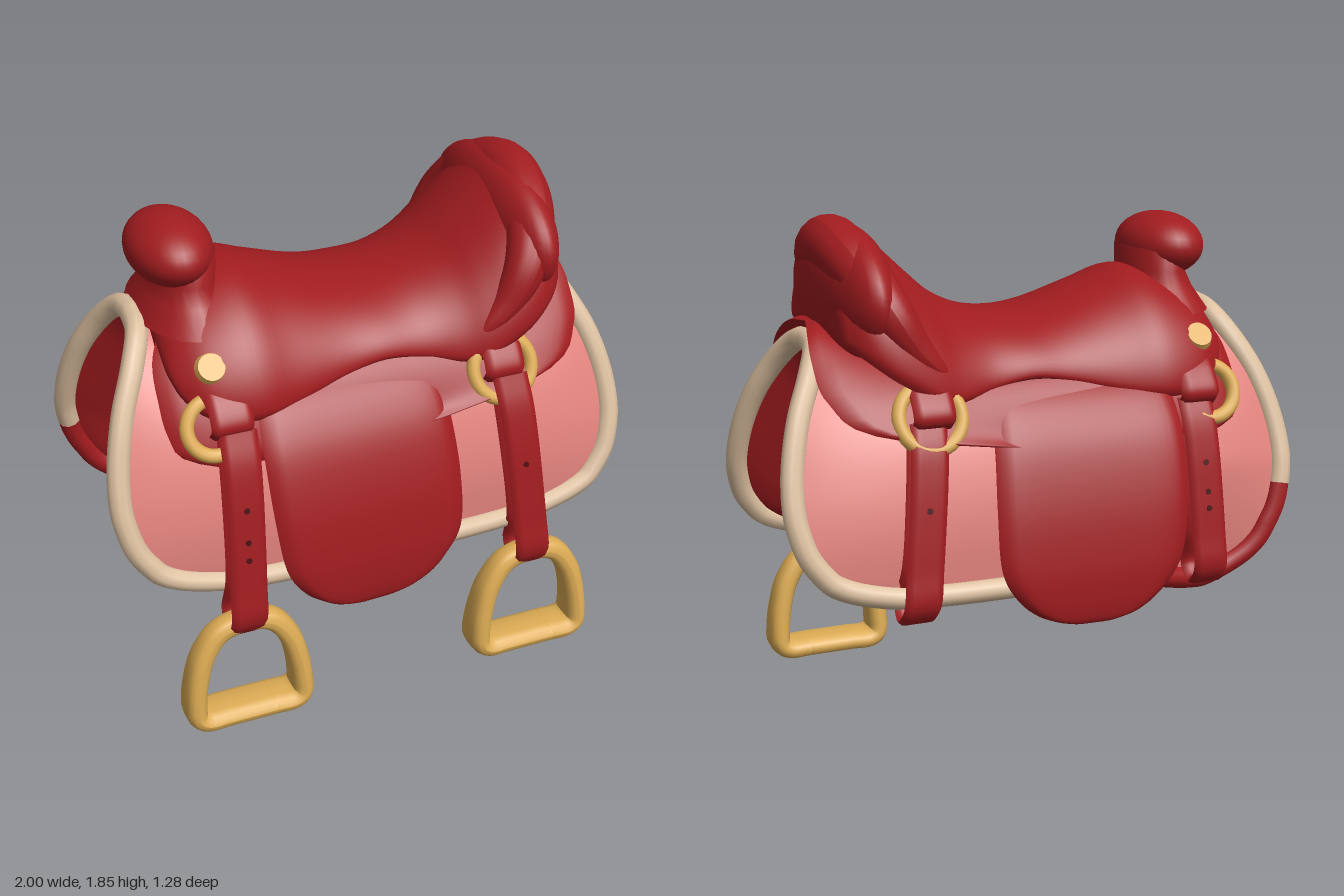
import * as THREE from 'three';

const mat = (name, color) => new THREE.MeshStandardMaterial({ name, color, side: THREE.DoubleSide });
const V = (x, y, z) => new THREE.Vector3(x, y, z);

// Smooth lookup through rows of values
function table(times, rows) {
  const size = rows[0].length;
  const c = new THREE.CubicInterpolant(new Float32Array(times), new Float32Array(rows.flat()), size, new Float32Array(size));
  return t => Array.from(c.evaluate(t));
}
const rowTable = rows => {
  const f = table(rows.map((_, i) => i), rows);
  return v => f((v + 1) / 2 * (rows.length - 1));
};

// Surface from f(u, v, side), u and v in -1..1; two sides give a padded slab
function sheet(f, nu, nv, sides = [1]) {
  const pos = [], idx = [];
  for (const side of sides) {
    const base = pos.length / 3;
    for (let i = 0; i <= nu; i++) for (let j = 0; j <= nv; j++) {
      pos.push(...f(-1 + 2 * i / nu, -1 + 2 * j / nv, side).toArray());
      if (i === nu || j === nv) continue;
      const a = base + i * (nv + 1) + j, b = a + nv + 1;
      idx.push(...(side > 0 ? [a, a + 1, b, b, a + 1, b + 1] : [a, b, a + 1, b, b + 1, a + 1]));
    }
  }
  const g = new THREE.BufferGeometry();
  g.setAttribute('position', new THREE.Float32BufferAttribute(pos, 3));
  g.setIndex(idx);
  g.computeVertexNormals();
  return g;
}
const soft = (u, v) => Math.sqrt(Math.max(0, (1 - u ** 8) * (1 - v ** 8)));

// Half arch profiles (z, y): blanket ends, blanket middle, lining middle
const endArch = table([0, .1, .24, .4, .6, .8, 1],
  [[0, 1.435], [.1, 1.42], [.2, 1.335], [.285, 1.19], [.365, .99], [.43, .79], [.48, .575]]);
const midArch = table([0, .1, .2, .35, .46, .61, .8, 1],
  [[0, 1.37], [.1, 1.365], [.2, 1.335], [.33, 1.25], [.4, 1.15], [.46, 1], [.5, .8], [.5, .565]]);
const liningArch = table([0, .07, .2, .4, .6, .78, .92, 1],
  [[0, 1.2], [.06, 1.19], [.15, 1.12], [.24, .95], [.31, .79], [.37, .64], [.42, .57], [.49, .56]]);
const reach = table([0, .1, .24, .4, .6, .75, .88, .96, 1],
  [[.775], [.785], [.835], [.905], [.953], [.95], [.895], [.79], [.62]]);

function arch(u, t, off = 0, mid = midArch) {
  const s = Math.abs(t), x = u * reach(s)[0], k = Math.max(0, 1 - u ** 4);
  const e = endArch(s), m = mid(s), phi = Math.min(1.45, s * 3);
  let z = e[0] + (m[0] - e[0]) * k + off * Math.sin(phi);
  let y = e[1] + (m[1] - e[1]) * k + off * Math.cos(phi) - .02 * u * (1 - s);
  if (t < 0) { // the far side droops near the horn
    const g = Math.exp(-(((x + .65) / .3) ** 2)) * Math.max(0, (s - .7) / .3);
    y -= .1 * g;
    z *= 1 - .12 * g;
  }
  return V(x, y, z * Math.sign(t));
}

export function createModel() {
  const root = new THREE.Group();
  const red = mat('red leather', 0xa11c1f), pink = mat('pink cloth', 0xe3837d), tan = mat('tan binding', 0xdcbf9f);
  const gold = mat('gold metal', 0xdcab54), dark = mat('dark hole', 0x4a1012);
  const add = (name, geo, m) => {
    const mesh = new THREE.Mesh(geo, m);
    mesh.name = name;
    root.add(mesh);
    return mesh;
  };

  // Blanket, lining and bound edge
  add('blanket', sheet((u, v) => arch(u, v), 48, 64), pink);
  add('lining', sheet((u, v) => arch(u, v, -.012 * soft(u, v), liningArch), 40, 64), red);
  const line = (a, b, n) => Array.from({ length: n }, (_, i) => arch(a[0] + (b[0] - a[0]) * i / n, a[1] + (b[1] - a[1]) * i / n));
  const binding = (name, pts, m) =>
    add(name, new THREE.TubeGeometry(new THREE.CatmullRomCurve3(pts), pts.length * 2, .042, 10), m);
  binding('blanketBinding', [...line([-1, -.78], [-1, 1], 50), ...line([-1, 1], [1, 1], 24),
    ...line([1, 1], [1, -1], 60), ...line([1, -1], [-.1, -1], 14), arch(-.1, -1)], tan);
  binding('farCornerBinding', [...line([-.1, -1], [-1, -1], 14), ...line([-1, -1], [-1, -.78], 10), arch(-1, -.78)], red);

  // Leather skirt lying on the blanket
  const skirtEnds = table([0, .12, .24, .36, .46, .54, .58],
    [[-.7, .785], [-.72, .82], [-.77, .835], [-.78, .81], [-.77, .67], [-.72, .2], [-.6, -.2]]);
  add('skirt', sheet((u, v) => {
    const t = v * .58, [l, r] = skirtEnds(Math.abs(t));
    const x = l + (r - l) * (u + 1) / 2;
    return arch(x / reach(Math.abs(t))[0], t, .02 + .035 * soft(u, v) + .05 * Math.max(0, u) ** 3);
  }, 44, 48), red);

  // Seat from arched sections: x, ridge height, half width, rim height
  const seatAt = rowTable([[-.74, 1.4, .2, 1.38], [-.73, 1.46, .3, 1.34], [-.69, 1.53, .37, 1.28], [-.6, 1.585, .435, 1.24],
    [-.45, 1.62, .46, 1.23], [-.3, 1.575, .43, 1.24], [-.1, 1.51, .39, 1.28], [.05, 1.49, .38, 1.3], [.2, 1.51, .385, 1.28],
    [.33, 1.57, .42, 1.26], [.43, 1.655, .445, 1.28], [.52, 1.74, .45, 1.33], [.6, 1.81, .44, 1.38],
    [.67, 1.82, .41, 1.43], [.72, 1.75, .36, 1.46], [.75, 1.67, .28, 1.48], [.755, 1.58, .001, 1.55]]);
  add('seat', sheet((u, v) => {
    const [x, top, w, rim] = seatAt(u), c = Math.cos(v * 1.83);
    return V(x, rim + (top - rim) * (c < 0 ? .4 * c : c ** 1.2), w * Math.sin(v * 1.83));
  }, 76, 48), red);
  add('seatUnderside', sheet((u, v) => {
    const [x, top, w, rim] = seatAt(u), low = rim - .1 * (top - rim);
    return V(x, low + (Math.min(top - .04, 1.48) - low) * (1 - v * v), w * .967 * v);
  }, 50, 24), red);

  // Rounded back of the cantle
  const back = add('cantleBack', new THREE.SphereGeometry(1, 40, 28), red);
  back.scale.set(.135, .245, .44);
  back.position.set(.64, 1.585, 0);

  // Rolled cantle, tapering toward its ends
  const half = [[.38, 1.31, .4], [.5, 1.42, .385], [.59, 1.56, .355], [.655, 1.69, .22]];
  const rollPath = new THREE.CatmullRomCurve3([...half.map(p => V(...p)), V(.68, 1.755, 0),
    ...half.slice().reverse().map(([x, y, z]) => V(x, y, -z))]);
  const roll = new THREE.TubeGeometry(rollPath, 64, .102, 18), rp = roll.attributes.position;
  for (let i = 0; i < rp.count; i++) {
    const s = Math.floor(i / 19) / 64, c = rollPath.getPointAt(s);
    const p = V(0, 0, 0).fromBufferAttribute(rp, i).sub(c).multiplyScalar(Math.sqrt(Math.max(0, Math.sin(Math.PI * s)))).add(c);
    rp.setXYZ(i, p.x, p.y, p.z);
  }
  roll.computeVertexNormals();
  add('cantleRoll', roll, red);

  // Horn
  const neck = add('hornNeck', new THREE.LatheGeometry(
    [[.19, 1.46], [.14, 1.54], [.115, 1.6], [.117, 1.68], [.08, 1.75]].map(p => new THREE.Vector2(...p)), 28), red);
  neck.position.x = -.588;
  neck.scale.z = 1.65;
  const cap = add('hornCap', new THREE.SphereGeometry(1, 32, 20), red);
  cap.scale.set(.152, .122, .222);
  cap.position.set(-.628, 1.688, 0);

  // Strap: a flat ribbon along a path, w wide in x
  const across = (path, v) => {
    const t = path.getTangent(v);
    return V(0, -t.z, t.y).normalize();
  };
  const strap = (name, path, w, thick) => add(name, sheet((u, v, side) => {
    const s = (v + 1) / 2, p = path.getPoint(s);
    return p.addScaledVector(across(path, s), side * thick * soft(u, 0)).add(V(u * w / 2, 0, 0));
  }, 10, 50, [1, -1]), red);

  const fenderAt = rowTable([[1.28, -.45, .22, .36], [1.18, -.465, .24, .45], [1.05, -.47, .255, .525], [.85, -.46, .27, .585],
    [.65, -.43, .265, .615], [.53, -.36, .2, .617], [.46, -.27, .11, .61], [.43, -.18, .02, .6], [.422, -.11, -.05, .595]]);
  const strapLine = [[1.18, .475], [1.08, .52], [.95, .55], [.8, .572], [.6, .595], [.46, .605], [.395, .55], [.46, .495],
    [.62, .54], [.9, .51], [1.17, .45]];

  for (const side of [1, -1]) {
    const tag = side > 0 ? 'front' : 'back';
    // Fender flap
    add(tag + 'Fender', sheet((u, v, face) => {
      const [y, l, r, z] = fenderAt(v), x = l + (r - l) * (u + 1) / 2;
      return V(x, y, side * (z - .05 * (x + .45) + face * .032 * soft(u, v)));
    }, 24, 40, [1, -1]), red);

    // Concho beside the horn
    const concho = add(tag + 'Concho', new THREE.CylinderGeometry(.048, .056, .026, 20), gold);
    concho.position.set(-.605, 1.392, side * .372);
    concho.quaternion.setFromUnitVectors(V(0, 1, 0), V(0, .25, side * .296).normalize());

    // Each hanger: ring centre, radius, arc start and length, strap top and bottom x
    for (const [end, ringX, ringR, from, arc, x0, x1] of [['Horn', -.62, .1, 1.9, 3.4, -.55, -.575],
      ['Cantle', .475, .115, 0, Math.PI * 2, .485, .565]]) {
      const ring = add(tag + end + 'Ring', new THREE.TorusGeometry(ringR, .026, 12, 32, arc).rotateZ(from), gold);
      ring.position.set(ringX, 1.195, side * .436);
      ring.rotation.x = -side * .4;

      // Tab from the seat over the ring, then the hanging strap
      strap(tag + end + 'Tab', new THREE.CatmullRomCurve3([[1.33, .36], [1.27, .43], [1.2, .47], [1.16, .44]]
        .map(([y, z]) => V(x0 - .015, y, side * z))), .155, .018);
      const k = side > 0 ? 1 : .87, kz = side > 0 ? 1 : .94;
      const path = new THREE.CatmullRomCurve3(strapLine.map(([y, z]) =>
        V(x0 + (x1 - x0) * (1.2 - y) / .8, 1.2 - (1.2 - y) * k, side * z * kz)));
      strap(tag + end + 'Strap', path, .138, .015);

      // Punched holes
      for (const s of end === 'Horn' ? [.225, .305, .34] : [.27]) {
        const n = across(path, s);
        if (n.z * side < 0) n.negate();
        const hole = add(tag + end + 'StrapHole', new THREE.CylinderGeometry(.011, .011, .008, 10), dark);
        hole.position.copy(path.getPoint(s)).addScaledVector(n, .014);
        hole.quaternion.setFromUnitVectors(V(0, 1, 0), n);
      }
    }
  }

  // Stirrups: a closed loop, deep at the tread and narrow at the top
  const arm = [[.09, .045], [.17, .045], [.203, .068], [.206, .13], [.193, .23], [.163, .33], [.1, .415]];
  const loop = new THREE.CatmullRomCurve3([...arm.map(([x, y]) => V(x, y, 0)), V(0, .44, 0),
    ...arm.slice().reverse().map(([x, y]) => V(-x, y, 0))], true);
  for (const [name, x] of [['hornStirrup', -.575], ['cantleStirrup', .57]]) {
    const g = new THREE.TubeGeometry(loop, 96, .041, 16, true), p = g.attributes.position;
    for (let i = 0; i < p.count; i++) {
      const depth = THREE.MathUtils.lerp(.088, .042, Math.min(1, p.getY(i) / .46));
      const z = p.getZ(i);
      p.setZ(i, Math.sign(z) * Math.min(1, Math.abs(z) / .041) ** .65 * depth);
    }
    g.computeVertexNormals();
    add(name, g, gold).position.set(x, 0, .557);
  }
  return root;
}
